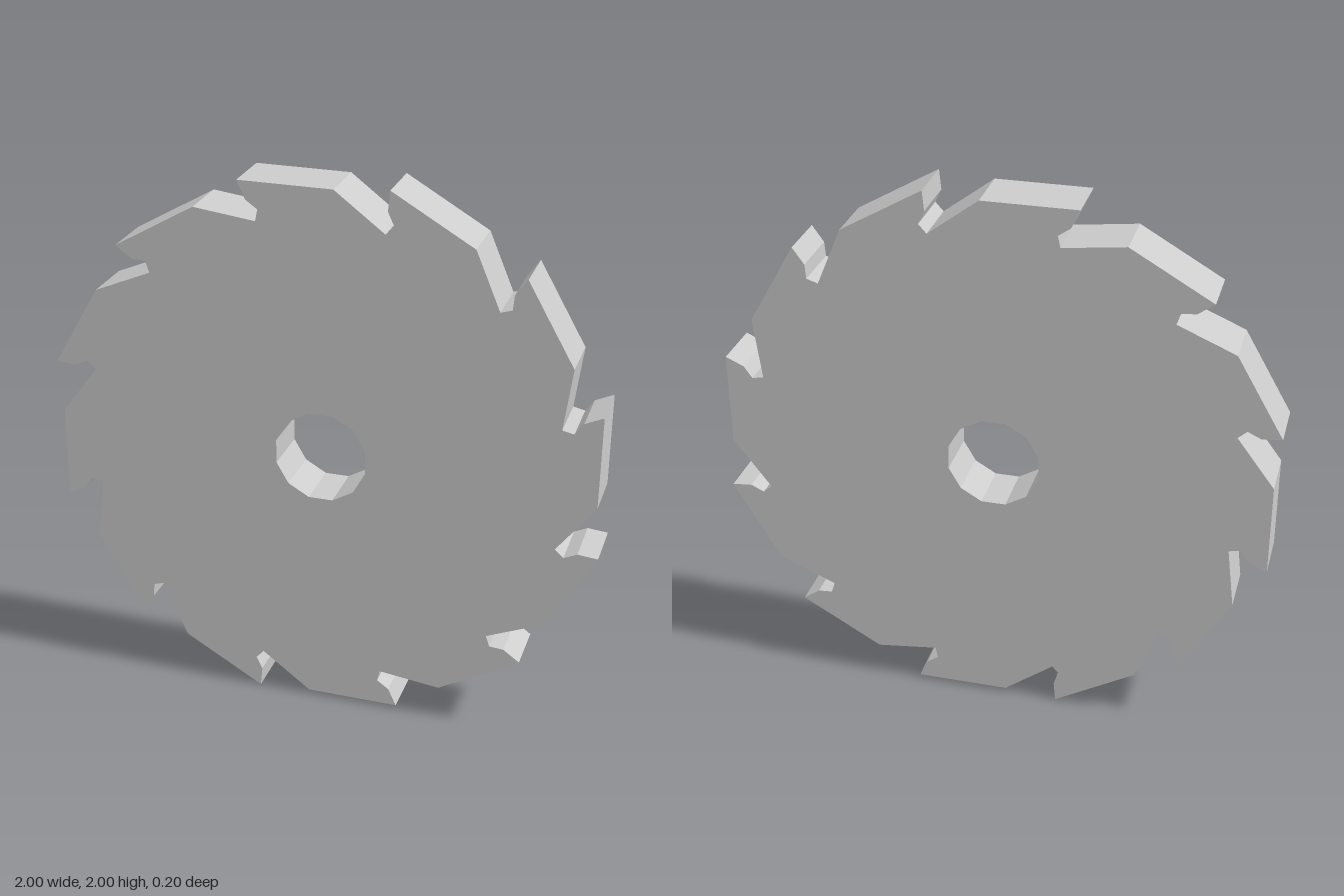
import * as THREE from 'three';

const TEETH = 12;
const THICKNESS = 0.2;

// One tooth, counter-clockwise: tip, raked face, chip pocket, gullet, heel of the next tooth
const TOOTH = [[0.986, 0.292], [0.92, 0.262], [0.89, 0.219], [0.848, 0.228], [0.876, 0.452]];

export function createModel() {
  const group = new THREE.Group();
  group.name = 'circularSawBlade';

  // Toothed outline, one tooth repeated around the centre
  const outline = [];
  const centre = new THREE.Vector2();
  for (let i = 0; i < TEETH; i++) {
    const angle = (i / TEETH) * Math.PI * 2;
    for (const [x, y] of TOOTH) {
      outline.push(new THREE.Vector2(x, y).rotateAround(centre, angle));
    }
  }
  const shape = new THREE.Shape(outline);

  // Twelve-sided arbor hole
  const hole = [];
  for (let i = 0; i < 12; i++) {
    const a = -((i + 0.5) / 12) * Math.PI * 2;
    hole.push(new THREE.Vector2(0.17 * Math.cos(a), 0.17 * Math.sin(a)));
  }
  shape.holes.push(new THREE.Path(hole));

  const geometry = new THREE.ExtrudeGeometry(shape, { depth: THICKNESS, bevelEnabled: false });
  geometry.translate(0, 1, -THICKNESS / 2);

  const blade = new THREE.Mesh(geometry, new THREE.MeshStandardMaterial({ color: 0xcccccc }));
  blade.name = 'toothedBlade';
  group.add(blade);
  return group;
}
